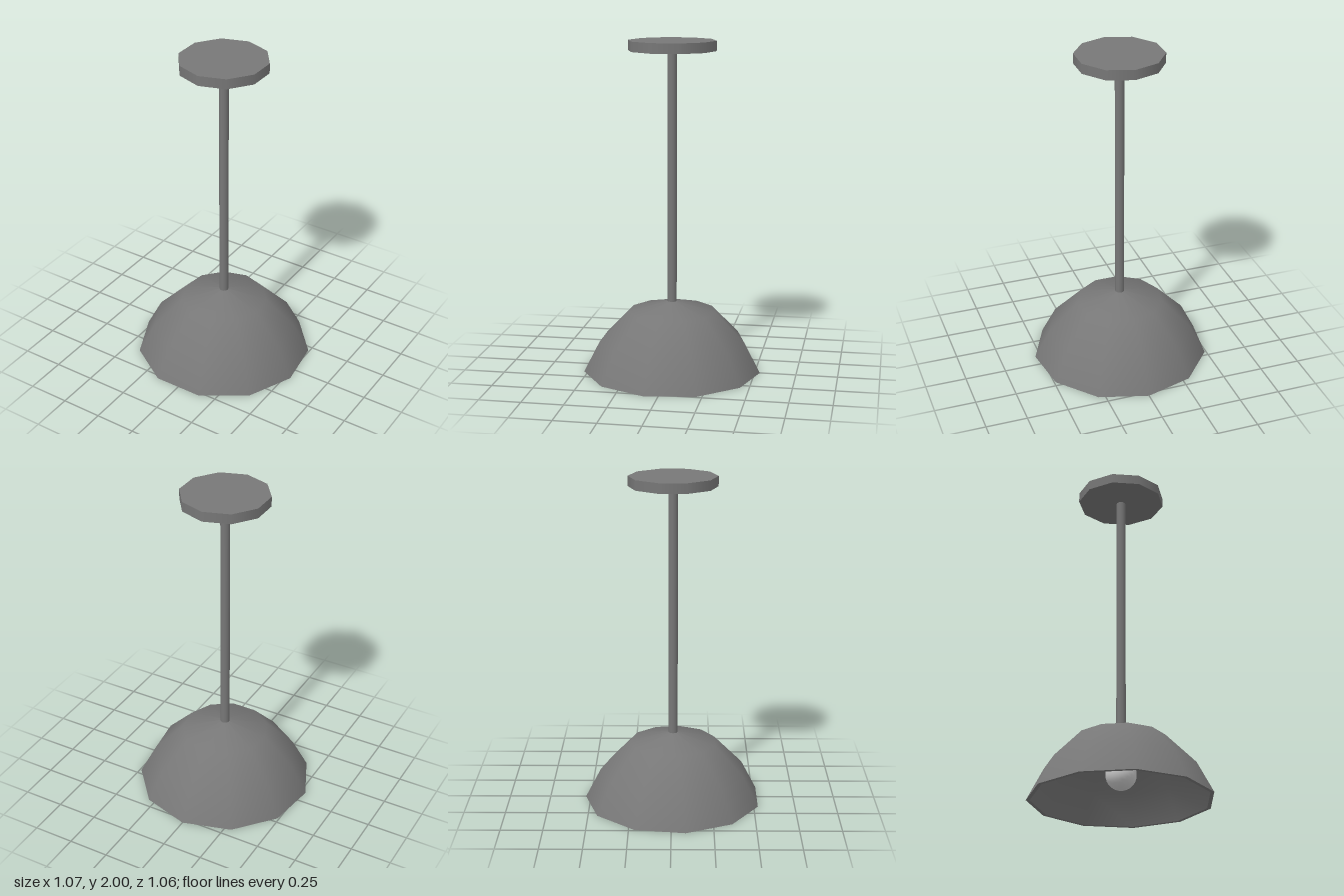
import * as THREE from 'three';

export function createModel() {
  const model = new THREE.Group();
  const metal = new THREE.MeshStandardMaterial({ color: 0x777777 });
  const glass = new THREE.MeshStandardMaterial({ color: 0xe6e6e6 });

  // All parts share one vertical axis, with a corner pointing to the back
  const add = (name, geometry, material, y = 0) => {
    const mesh = new THREE.Mesh(geometry, material);
    mesh.name = name;
    mesh.position.set(0, y, 0.008);
    model.add(mesh);
  };
  const lathe = (points, sides) => new THREE.LatheGeometry(
    points.map(([r, y]) => new THREE.Vector2(r, y)), sides, Math.PI);

  // Ceiling plate and rod
  add('ceilingPlate', new THREE.CylinderGeometry(0.263, 0.263, 0.06, 10, 1, false, Math.PI), metal, 1.97);
  add('rod', new THREE.CylinderGeometry(0.028, 0.028, 1.53, 12), metal, 1.185);

  // Eleven-sided dome: outer skin, inner skin and flat rim
  const outer = [[0.539, 0], [0.443, 0.185], [0.265, 0.368], [0, 0.435]];
  const inner = [[0, 0.413], [0.255, 0.349], [0.425, 0.175], [0.517, 0]];
  add('shadeOuter', lathe(outer, 11), metal);
  add('shadeInner', lathe(inner, 11), metal);
  add('shadeRim', lathe([inner[3], outer[0]], 11), metal);

  // Bulb: straight neck with a rounded lower end
  const radius = 0.09, centre = 0.15, bulb = [];
  for (let i = 0; i <= 8; i++) {
    const a = (i / 8) * Math.PI / 2;
    bulb.push([radius * Math.sin(a), centre - radius * Math.cos(a)]);
  }
  bulb.push([radius, 0.395]);
  add('bulb', lathe(bulb, 20), glass);

  return model;
}
